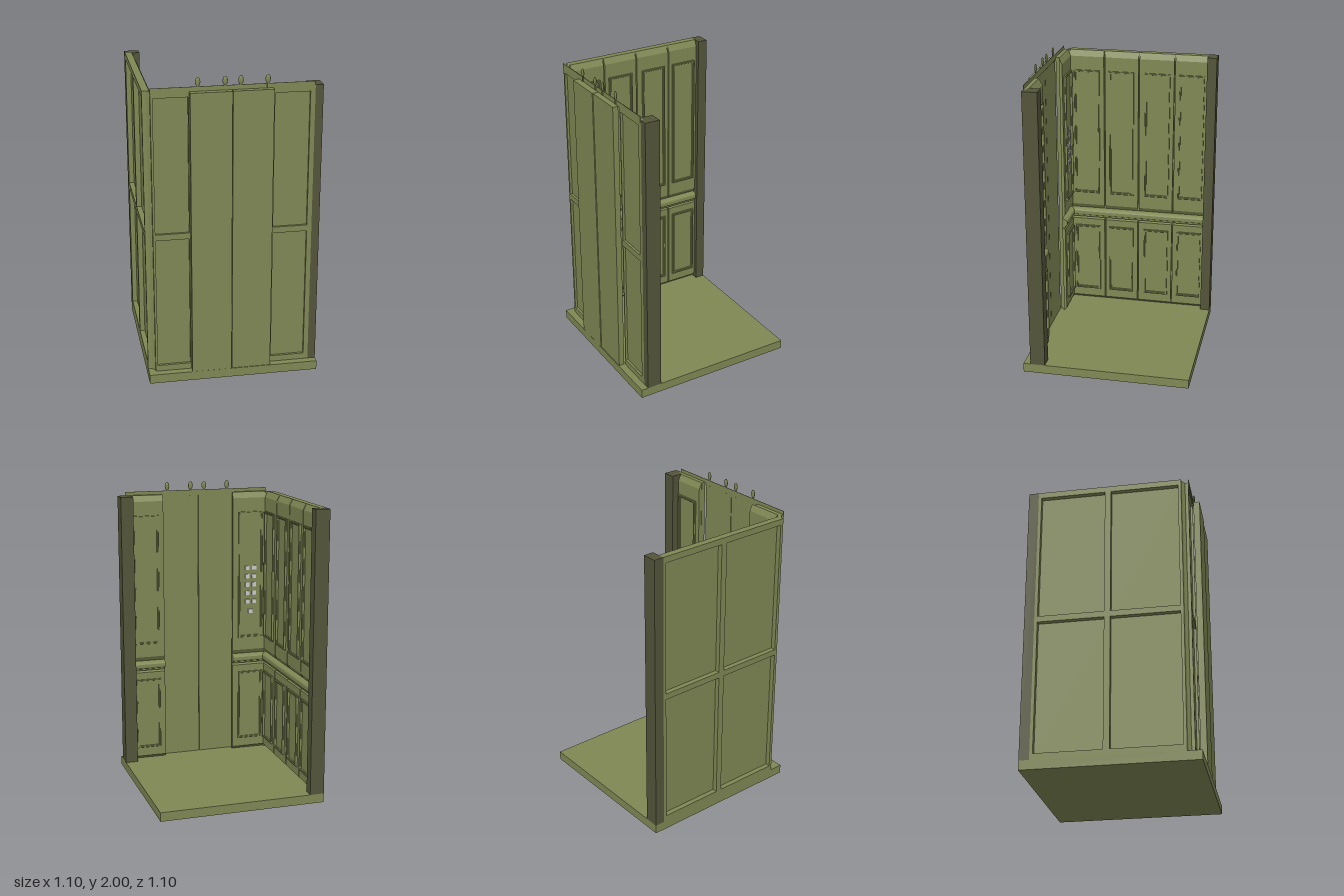
import * as THREE from 'three';

const olive = new THREE.MeshStandardMaterial({ color: 0x808854 });
const dark = new THREE.MeshStandardMaterial({ color: 0x54553a });
const grey = new THREE.MeshStandardMaterial({ color: 0xcccccc });

const FLOOR = 0.06, TOP = 1.92;

function add(parent, name, geometry, material = olive) {
  const mesh = new THREE.Mesh(geometry, material);
  mesh.name = name;
  parent.add(mesh);
  return mesh;
}

// Box given by its limits on each axis
function span(parent, name, [x0, x1], [y0, y1], [z0, z1], material) {
  const g = new THREE.BoxGeometry(x1 - x0, y1 - y0, z1 - z0);
  g.translate((x0 + x1) / 2, (y0 + y1) / 2, (z0 + z1) / 2);
  return add(parent, name, g, material);
}

const rectPoints = (x0, x1, y0, y1) => [[x0, y0], [x1, y0], [x1, y1], [x0, y1]].map(p => new THREE.Vector2(...p));

// Flat frame with rectangular openings, from z0 to z1
function frame(parent, name, outer, holes, z0, z1) {
  const shape = new THREE.Shape(rectPoints(...outer));
  for (const h of holes) shape.holes.push(new THREE.Path(rectPoints(...h).reverse()));
  const g = new THREE.ExtrudeGeometry(shape, { depth: z1 - z0, bevelEnabled: false });
  return add(parent, name, g.translate(0, 0, z0));
}

// Moulding profile (depth, height) swept along the wall from u0 to u1
function sweep(parent, name, profile, u0, u1) {
  const shape = new THREE.Shape(profile.map(p => new THREE.Vector2(...p)));
  const g = new THREE.ExtrudeGeometry(shape, { depth: u1 - u0, bevelEnabled: false });
  return add(parent, name, g.rotateY(-Math.PI / 2).translate(u1, 0, 0));
}

const upperBoard = [[0, 0.77], [0.02, 0.8], [0.02, 1.88], [0, TOP]];
const lowerBoard = [[0, FLOOR], [0.02, 0.08], [0.02, 0.69], [0, 0.7]];
const railProfile = [[0, 0.7], [0.02, 0.705], [0.02, 0.715], [0.031, 0.72], [0.035, 0.73],
  [0.035, 0.75], [0.031, 0.758], [0.02, 0.765], [0, 0.77]];

// Panelled wall: inside faces local +z, framed recesses on the outside.
// cols: [board u0, u1, moulding u0, u1]
function wall(name, u0, u1, cols, recesses, depth) {
  const group = new THREE.Group();
  group.name = name;
  span(group, 'backing', [u0, u1], [FLOOR, TOP], [-0.012, 0]);
  const holes = recesses.flatMap(([a, b]) => [[a, b, 0.1, 0.97], [a, b, 1.01, 1.88]]);
  frame(group, 'outerFrame', [u0, u1, FLOOR, TOP], holes, -depth, -0.012);
  for (const [a, b, m0, m1] of cols) {
    sweep(group, 'upperBoard', upperBoard, a, b);
    sweep(group, 'lowerBoard', lowerBoard, a, b);
    for (const [y0, y1] of [[0.89, 1.785], [0.14, 0.64]]) {
      frame(group, 'panelMoulding', [m0, m1, y0, y1], [[m0 + 0.016, m1 - 0.016, y0 + 0.016, y1 - 0.016]], 0.018, 0.028);
      frame(group, 'panelBead', [m0 + 0.004, m1 - 0.004, y0 + 0.004, y1 - 0.004],
        [[m0 + 0.011, m1 - 0.011, y0 + 0.011, y1 - 0.011]], 0.028, 0.035);
    }
  }
  sweep(group, 'chairRail', railProfile, cols[0][0], cols[cols.length - 1][1]);
  return group;
}

export function createModel() {
  const model = new THREE.Group();
  model.name = 'liftCabin';

  span(model, 'floor', [-0.55, 0.55], [0, FLOOR], [-0.55, 0.55]);

  // Corner posts
  span(model, 'backPost', [-0.55, -0.455], [FLOOR, TOP], [-0.55, -0.485], dark);
  span(model, 'frontPost', [0.465, 0.55], [FLOOR, TOP], [0.405, 0.486], dark);
  span(model, 'frontPostEdge', [0.5, 0.55], [FLOOR, TOP], [0.486, 0.503], dark);

  // Side wall, local u runs along -z
  const side = wall('sideWall', -0.46, 0.485, [
    [-0.46, -0.224, -0.435, -0.255],
    [-0.216, 0.016, -0.19, -0.015],
    [0.024, 0.261, 0.06, 0.235],
    [0.269, 0.485, 0.295, 0.47],
  ], [[-0.44, 0], [0.04, 0.465]], 0.045);
  side.rotation.y = Math.PI / 2;
  side.position.x = -0.505;
  model.add(side);

  // Front returns beside the doorway, local u runs along -x
  const leftReturn = wall('panelReturn', 0.272, 0.505, [[0.25, 0.49, 0.29, 0.47]], [[0.278, 0.497]], 0.028);
  const rightReturn = wall('postReturn', -0.5, -0.245, [[-0.466, -0.247, -0.458, -0.28]], [[-0.47, -0.252]], 0.028);
  for (const r of [leftReturn, rightReturn]) {
    r.rotation.y = Math.PI;
    r.position.z = 0.475;
    model.add(r);
  }

  // Chamfered trim joining the side wall and the front
  const corner = new THREE.Shape([[-0.55, 0.46], [-0.525, 0.465], [-0.512, 0.478], [-0.504, 0.482],
    [-0.504, 0.503], [-0.49, 0.503], [-0.49, 0.46]].map(([x, z]) => new THREE.Vector2(x, -z)));
  const cornerGeo = new THREE.ExtrudeGeometry(corner, { depth: TOP - FLOOR, bevelEnabled: false });
  add(model, 'cornerTrim', cornerGeo.rotateX(-Math.PI / 2).translate(0, FLOOR, 0));

  // Control buttons
  const buttons = new THREE.Group();
  buttons.name = 'controlButtons';
  const button = (x, y) => span(buttons, 'button', [x - 0.015, x + 0.015], [y - 0.015, y + 0.015], [0.446, 0.456], grey);
  for (let row = 0; row < 5; row++) for (const x of [-0.405, -0.355]) button(x, 1.39 - row * 0.06);
  button(-0.38, 1.08);
  model.add(buttons);

  // Sliding doors and header strip
  span(model, 'rightDoor', [-0.272, -0.017], [FLOOR, 1.915], [0.508, 0.549]);
  span(model, 'leftDoor', [-0.013, 0.238], [FLOOR, 1.915], [0.508, 0.545]);
  span(model, 'headerStrip', [-0.505, 0.498], [1.905, 1.943], [0.503, 0.506]);

  // Door hangers: stem and flattened roller
  for (const x of [-0.22, -0.055, 0.04, 0.205]) {
    const hanger = new THREE.Group();
    hanger.name = 'doorHanger';
    span(hanger, 'stem', [x - 0.005, x + 0.005], [1.9, 1.955], [0.504, 0.511]);
    const roller = add(hanger, 'roller', new THREE.SphereGeometry(1, 16, 10));
    roller.scale.set(0.016, 0.028, 0.007);
    roller.position.set(x, 1.972, 0.507);
    model.add(hanger);
  }
  return model;
}
